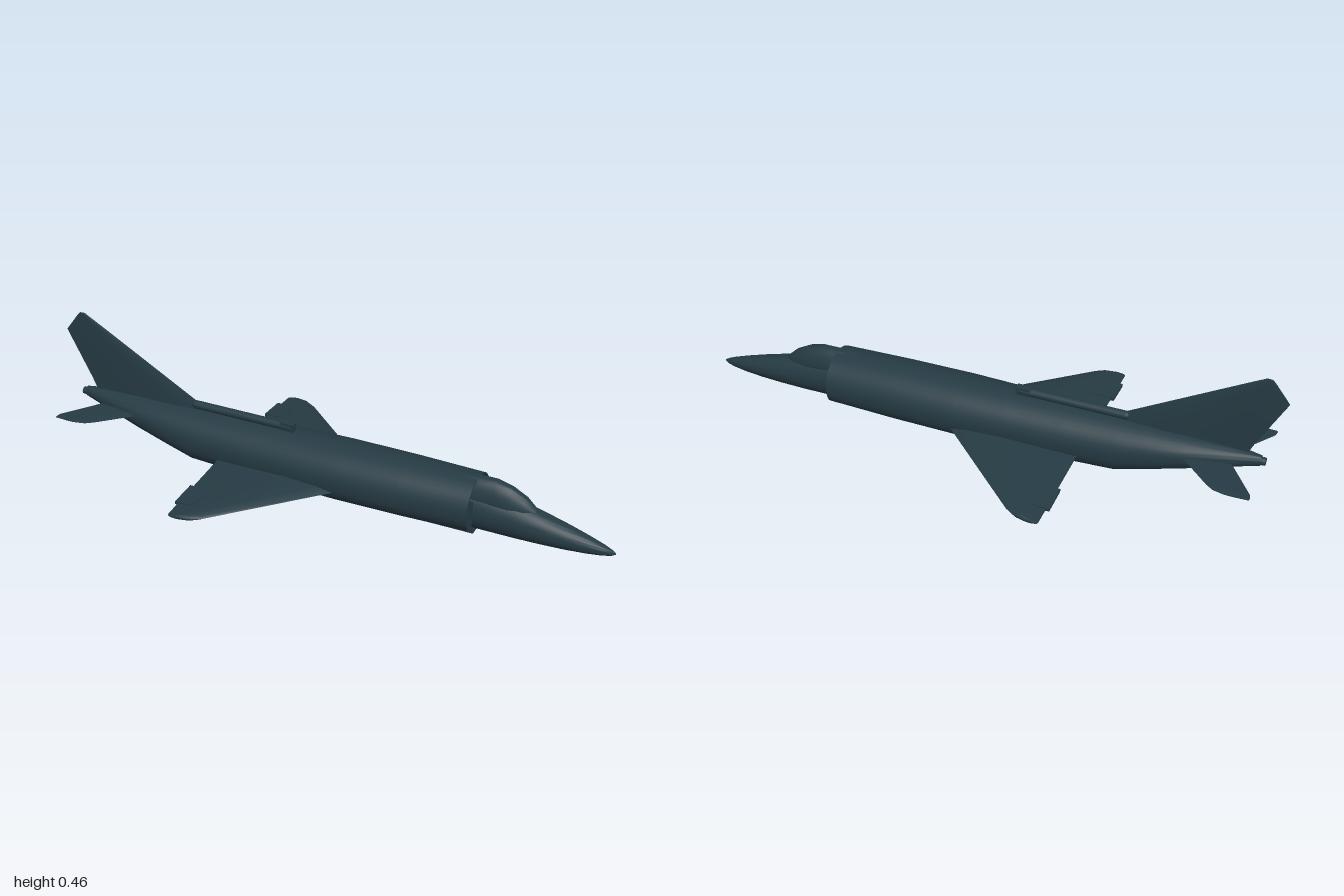
import * as THREE from 'three';
import { toCreasedNormals } from 'three/addons/utils/BufferGeometryUtils.js';

const paint = new THREE.MeshStandardMaterial({ color: 0x263b44 });
paint.name = 'dark slate paint';

// Closed skin through rings of [x, y, z] points, capped at both ends and always facing outward
function loft(rings, crease = 0.6) {
  const n = rings[0].length, pos = [], idx = [];
  const centre = (r) => [0, 1, 2].map((k) => r.reduce((s, p) => s + p[k], 0) / n);
  rings.forEach((r) => r.forEach((p) => pos.push(...p)));
  pos.push(...centre(rings[0]), ...centre(rings[rings.length - 1]));
  const a0 = rings.length * n, last = a0 - n;
  for (let j = 0; j < n; j++) {
    const k = (j + 1) % n;
    for (let i = 0; i < rings.length - 1; i++) {
      const a = i * n + j, b = i * n + k;
      idx.push(a, b, b + n, a, b + n, a + n);
    }
    idx.push(a0, k, j, a0 + 1, last + j, last + k);
  }
  const v = (i) => new THREE.Vector3().fromArray(pos, i * 3);
  let volume = 0;
  for (let i = 0; i < idx.length; i += 3) volume += v(idx[i]).dot(v(idx[i + 1]).cross(v(idx[i + 2])));
  if (volume < 0) idx.reverse();
  const g = new THREE.BufferGeometry();
  g.setAttribute('position', new THREE.Float32BufferAttribute(pos, 3));
  g.setIndex(idx);
  return toCreasedNormals(g, crease);
}

// Hull cross-section: round above the middle, squarer below
function hullRing([x, bottom, top, w, mid], n = 2.6, scale = 1) {
  const ring = [];
  for (let i = 0; i < 36; i++) {
    const a = (i / 36) * Math.PI * 2, c = Math.cos(a), s = Math.sin(a);
    const e = s < 0 ? 2 / n : 1;
    const z = Math.sign(c) * Math.abs(c) ** e * w * scale;
    const y = s < 0 ? -(Math.abs(s) ** e) * (mid - bottom) : s * (top - mid);
    ring.push([x, mid + y * scale, z]);
  }
  return ring;
}

// Aerofoil cross-section between leading and trailing edge
const foil = (lead, trail, t, place) =>
  [[0, 0], [0.12, 0.7], [0.4, 1], [1, 0.15], [1, -0.15], [0.4, -1], [0.12, -0.7]]
    .map(([u, h]) => place(lead + (trail - lead) * u, h * t));

export function createModel() {
  const model = new THREE.Group();
  const add = (name, geometry) => {
    const mesh = new THREE.Mesh(geometry, paint);
    mesh.name = name;
    model.add(mesh);
    return mesh;
  };
  const box = (name, size, at) => add(name, new THREE.BoxGeometry(...size)).position.set(...at);

  // Main body: x, bottom, top, half width, middle height
  const body = [
    [-0.935, 0.137, 0.172, 0.014, 0.155], [-0.85, 0.118, 0.18, 0.038, 0.15],
    [-0.7, 0.076, 0.187, 0.068, 0.135], [-0.58, 0.042, 0.19, 0.084, 0.12],
    [-0.48, 0.014, 0.191, 0.094, 0.106], [-0.3, 0.009, 0.192, 0.102, 0.1],
    [-0.1, 0.007, 0.194, 0.109, 0.1], [0.07, 0.006, 0.196, 0.114, 0.1],
    [0.3, 0.007, 0.196, 0.111, 0.1], [0.54, 0.012, 0.192, 0.104, 0.1],
  ];
  const front = body[body.length - 1];
  const inside = [0.47, ...front.slice(1)];
  // The skin folds inward at the front to form the intake mouths
  add('fuselage', loft([...body.map((s) => hullRing(s)),
    hullRing(front, 2.6, 0.94), hullRing(inside, 2.6, 0.92)]));

  // Nose running back inside the intakes
  add('nose', loft([
    [0.4, 0.008, 0.17, 0.058, 0.085], [0.56, 0.006, 0.155, 0.056, 0.08],
    [0.68, 0.006, 0.135, 0.053, 0.07], [0.76, 0.007, 0.113, 0.048, 0.062],
    [0.84, 0.009, 0.091, 0.039, 0.052], [0.91, 0.013, 0.07, 0.028, 0.043],
    [0.96, 0.018, 0.054, 0.017, 0.037], [0.988, 0.024, 0.043, 0.008, 0.034],
    [1, 0.031, 0.035, 0.002, 0.033],
  ].map((s) => hullRing(s, 2.1))));

  // Canopy bubble
  add('canopy', loft([
    [0.42, 0.09, 0.192, 0.046, 0.12], [0.54, 0.09, 0.197, 0.044, 0.12],
    [0.6, 0.09, 0.197, 0.042, 0.12], [0.65, 0.09, 0.184, 0.039, 0.115],
    [0.7, 0.085, 0.157, 0.031, 0.11], [0.74, 0.08, 0.12, 0.016, 0.1],
    [0.755, 0.08, 0.108, 0.004, 0.1],
  ].map((s) => hullRing(s, 2))));

  // Dorsal spine and tail fin
  const spine = add('dorsalSpine', new THREE.CapsuleGeometry(0.0145, 0.36, 4, 14));
  spine.geometry.rotateZ(Math.PI / 2);
  spine.position.set(-0.31, 0.205, 0);
  box('spineFront', [0.05, 0.032, 0.025], [-0.14, 0.204, 0]);
  add('tailFin', loft([
    [0.17, -0.4, -0.89, 0.013], [0.215, -0.48, -0.91, 0.011],
    [0.385, -0.783, -0.999, 0.006], [0.445, -0.89, -0.953, 0.004], [0.46, -0.918, -0.94, 0.003],
  ].map(([y, lead, trail, t]) => foil(lead, trail, t, (x, h) => [x, y, h]))));
  const tailPipe = add('tailPipe', new THREE.CylinderGeometry(0.013, 0.015, 0.04, 16));
  tailPipe.geometry.rotateZ(Math.PI / 2);
  tailPipe.position.set(-0.93, 0.153, 0);

  // Ventral fairing and belly plate
  box('bellyFairing', [0.25, 0.012, 0.09], [0.42, 0.009, 0]);
  box('bellyPlate', [0.1, 0.008, 0.06], [-0.075, 0.004, 0]);

  for (const side of [1, -1]) {
    const label = side > 0 ? 'left' : 'right';

    // Swept wing with a rounded tip, drooping outward
    const wing = [
      [0.06, 0.13, -0.36, 0.069, 0.015], [0.11, 0.076, -0.36, 0.066, 0.0145],
      [0.405, -0.24, -0.356, 0.05, 0.01], [0.425, -0.272, -0.356, 0.049, 0.009],
      [0.433, -0.305, -0.354, 0.048, 0.006], [0.436, -0.33, -0.35, 0.048, 0.003],
    ];
    add(label + 'Wing', loft(wing.map(([z, lead, trail, y, t]) =>
      foil(lead, trail, t, (x, h) => [x, y + h, z * side]))));

    // Raised control panel near the wing tip
    add(label + 'Aileron', loft([
      [0.265, -0.284, -0.368, 0.057, 0.008], [0.365, -0.308, -0.368, 0.052, 0.007],
    ].map(([z, lead, trail, y, t]) => [[lead, y + t], [trail, y + t * 0.7],
      [trail, y - t * 0.7], [lead, y - t]].map(([x, h]) => [x, h, z * side]))));

    // Tailplane
    add(label + 'Tailplane', loft([
      [0.02, -0.65, -0.84, 0.004], [0.055, -0.69, -0.865, 0.004],
      [0.165, -0.805, -0.943, 0.003], [0.183, -0.83, -0.946, 0.003], [0.19, -0.86, -0.944, 0.002],
    ].map(([z, lead, trail, t]) => foil(lead, trail, t, (x, h) => [x, 0.14 + h, z * side]))));

    // Splitter plate beside the intake mouth
    box(label + 'SplitterPlate', [0.09, 0.1, 0.006], [0.5, 0.085, 0.064 * side]);
  }
  return model;
}
